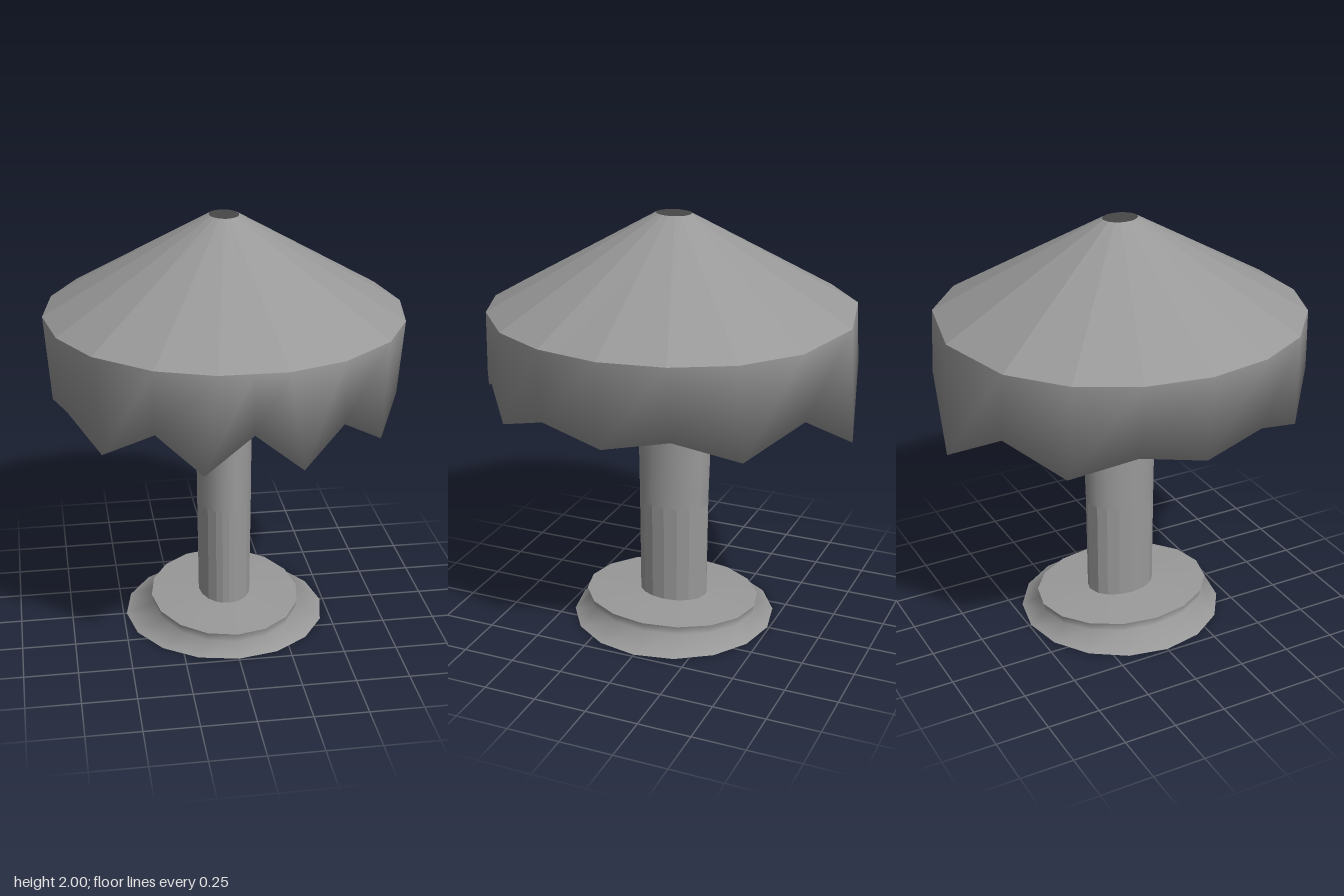
import * as THREE from 'three';
import { toCreasedNormals } from 'three/addons/utils/BufferGeometryUtils.js';

const SMOOTH = Math.PI, FACETED = 0.02;

// Skins closed rings of [x, y, z] points; edges sharper than crease stay hard.
function loft(name, rings, crease) {
  const n = rings[0].length;
  const index = [];
  for (let i = 0; i < rings.length - 1; i++) {
    for (let j = 0; j < n; j++) {
      const k = (j + 1) % n;
      const a = i * n + j, b = i * n + k, c = a + n, d = b + n;
      index.push(a, b, d, a, d, c);
    }
  }
  const geo = new THREE.BufferGeometry();
  geo.setAttribute('position', new THREE.Float32BufferAttribute(rings.flat(2), 3));
  geo.setIndex(index);
  geo.computeVertexNormals();
  const material = new THREE.MeshStandardMaterial({ color: 0x999999, side: THREE.DoubleSide });
  const mesh = new THREE.Mesh(toCreasedNormals(geo, crease), material);
  mesh.name = name;
  return mesh;
}

// Horizontal ellipse, starting at the front and turning towards +x.
function ellipse(rx, rz, y, cz = 0, n = 16) {
  return Array.from({ length: n }, (_, i) => {
    const a = (i / n) * Math.PI * 2;
    return [rx * Math.sin(a), y, cz + rz * Math.cos(a)];
  });
}

// Completes a half outline, given front to back, with its mirror image.
function mirrored(half) {
  const other = half.slice(1, -1).reverse().map(([x, y, z]) => [-x, y, z]);
  return [...half, ...other];
}

// Ellipse whose points follow the bearings of another ring.
function follow(ring, rx, rz, y, cz = 0) {
  return ring.map(([x, , z]) => {
    const a = Math.atan2(x, z);
    return [rx * Math.sin(a), y, cz + rz * Math.cos(a)];
  });
}

export function createModel() {
  const model = new THREE.Group();

  // Canopy outlines: the rim and the zigzag hem below it
  const rim = mirrored([
    [0, 0.845], [0.15, 0.845], [0.4, 0.755], [0.64, 0.55], [0.775, 0.295],
    [0.825, 0], [0.775, -0.295], [0.64, -0.555], [0.4, -0.755], [0, -0.845],
  ].map(([x, z]) => [x, 1.56, z]));
  const hem = mirrored([
    [0, 1.3, 0.87], [0.21, 1.13, 0.87], [0.4, 1.28, 0.76], [0.61, 1.12, 0.57], [0.745, 1.22, 0.3],
    [0.795, 1.16, 0], [0.745, 1.22, -0.3], [0.61, 1.12, -0.57], [0.4, 1.26, -0.77], [0, 1.03, -0.87],
  ]);

  // Faceted conical roof with an open top
  model.add(loft('canopyRoof', [rim, follow(rim, 0.068, 0.083, 2)], FACETED));

  // Upper column, flowing smoothly into the underside and the skirt
  const columnJoint = follow(hem, 0.13, 0.172, 0.6, -0.002);
  model.add(loft('columnAndSkirt', [
    columnJoint,
    follow(hem, 0.132, 0.18, 0.97, -0.006),
    follow(hem, 0.13, 0.17, 1.2),
    follow(hem, 0.13, 0.17, 1.38),
    hem,
    rim,
  ], SMOOTH));

  // Faceted lower column, hollow and open below
  model.add(loft('columnLower', [follow(hem, 0.125, 0.168, 0.055), columnJoint], FACETED));

  // Base: flared foot rounding into the plate edge, closed by two flat rings
  const waist = ellipse(0.35, 0.418, 0.055, 0.01);
  const plateEdge = ellipse(0.36, 0.43, 0.1, 0.01);
  model.add(loft('baseFoot', [ellipse(0.485, 0.49, 0), waist, plateEdge], SMOOTH));
  model.add(loft('basePlateTop', [plateEdge, ellipse(0.125, 0.168, 0.115)], SMOOTH));
  model.add(loft('basePlateUnderside', [ellipse(0.125, 0.168, 0.055), waist], SMOOTH));

  return model;
}
